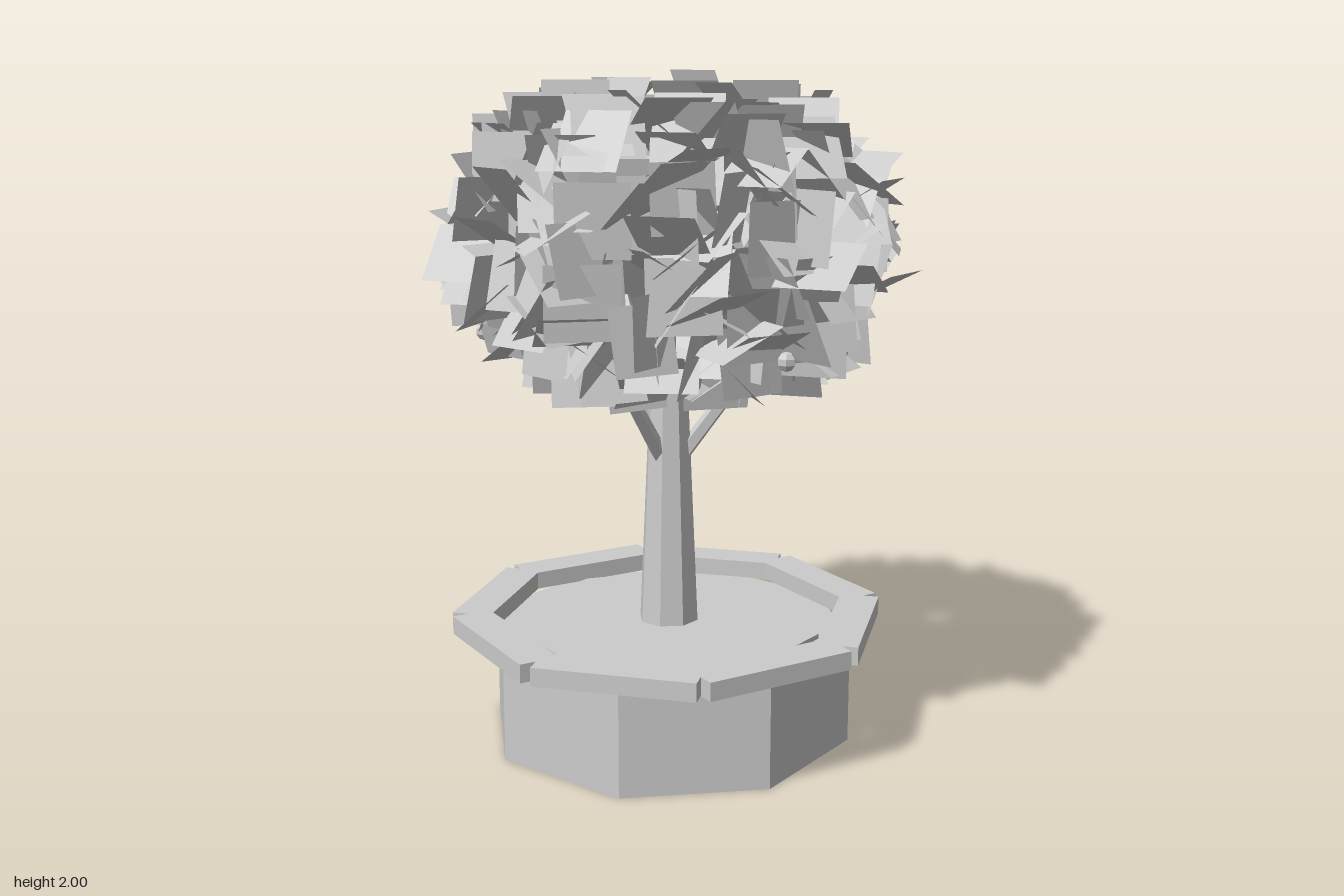
import * as THREE from 'three';
import { mergeGeometries } from 'three/addons/utils/BufferGeometryUtils.js';

const grey = new THREE.MeshStandardMaterial({ color: 0xcccccc, flatShading: true });
const leafGrey = new THREE.MeshStandardMaterial({ color: 0xcccccc, flatShading: true, side: THREE.DoubleSide });

function seeded(seed) {
  return () => {
    seed = (seed * 1664525 + 1013904223) % 4294967296;
    return seed / 4294967296;
  };
}

function part(name, geometry, parent, x = 0, y = 0, z = 0, material = grey) {
  const mesh = new THREE.Mesh(geometry, material);
  mesh.name = name;
  mesh.position.set(x, y, z);
  parent.add(mesh);
  return mesh;
}

// Tapered rod between two points
function rod(name, from, to, r0, r1, sides, parent) {
  const dir = to.clone().sub(from);
  const mid = from.clone().add(to).multiplyScalar(0.5);
  const mesh = part(name, new THREE.CylinderGeometry(r1, r0, dir.length(), sides), parent, mid.x, mid.y, mid.z);
  mesh.quaternion.setFromUnitVectors(new THREE.Vector3(0, 1, 0), dir.normalize());
}

// Square leaf cards with level top edges, turned and tipped at random
// through the outer shell of a flattened, slightly boxy ball
function foliageGeometry() {
  const rand = seeded(29);
  const cards = [];
  const count = 380;
  const dummy = new THREE.Object3D();
  dummy.rotation.order = 'YXZ';
  for (let i = 0; i < count; i++) {
    const h = 1 - (2 * (i + 0.5)) / count;
    const a = i * 2.39996 + (rand() - 0.5) * 0.6;
    const shell = 0.7 + 0.3 * Math.sqrt(rand());
    const ring = Math.pow(1 - h * h, 0.36) * shell * 0.63;
    const lift = h * (0.8 + 0.2 * shell) * 0.4;
    dummy.position.set(Math.cos(a) * ring, 1.51 + lift, Math.sin(a) * ring);
    dummy.rotation.set((rand() - 0.5) * 2.3, rand() * Math.PI * 2, 0);
    dummy.updateMatrix();
    const size = 0.19 + rand() * 0.02;
    cards.push(new THREE.PlaneGeometry(size, size).applyMatrix4(dummy.matrix));
  }
  return mergeGeometries(cards);
}

export function createModel() {
  const model = new THREE.Group();
  model.name = 'pottedTree';
  const cx = -0.01, cz = 0.015;

  // Octagonal planter with a flat side to the front
  const planter = new THREE.CylinderGeometry(0.563, 0.563, 0.33, 8);
  planter.rotateY(Math.PI / 8);
  part('planter', planter, model, cx, 0.165, cz);
  part('soil', new THREE.CylinderGeometry(0.475, 0.475, 0.04, 10), model, cx, 0.325, cz);

  // Rim of eight planks, notched where their ends meet
  const rim = new THREE.Group();
  rim.name = 'rim';
  rim.position.set(cx, 0.358, cz);
  model.add(rim);
  const depth = 0.12;
  for (let i = 0; i < 8; i++) {
    const a = ((i + 0.5) * Math.PI) / 4;
    const r = 0.619 - depth / 2;
    const plank = part('rimPlank', new THREE.BoxGeometry(0.472, 0.055, depth), rim, Math.sin(a) * r, 0, Math.cos(a) * r);
    plank.rotation.y = a;
  }

  // Trunk and three branches reaching into the crown
  const trunk = new THREE.CylinderGeometry(0.05, 0.093, 0.96, 8);
  trunk.rotateY(0.35);
  part('trunk', trunk, model, cx, 0.81, cz);
  for (let i = 0; i < 3; i++) {
    const a = (i * Math.PI * 2) / 3;
    const at = (r, y) => new THREE.Vector3(cx + Math.sin(a) * r, y, cz + Math.cos(a) * r);
    rod('branch', at(0.03, 0.85), at(0.36, 1.3), 0.026, 0.018, 5, model);
  }

  part('foliage', foliageGeometry(), model, 0, 0, 0, leafGrey);

  // Small fruits hanging at the lower edge of the crown
  for (const [x, y, z] of [[-0.54, 1.22, 0.25], [0.09, 1.21, -0.53], [0.5, 1.22, 0.16]]) {
    part('fruit', new THREE.SphereGeometry(0.028, 6, 5), model, x, y, z);
  }
  return model;
}
